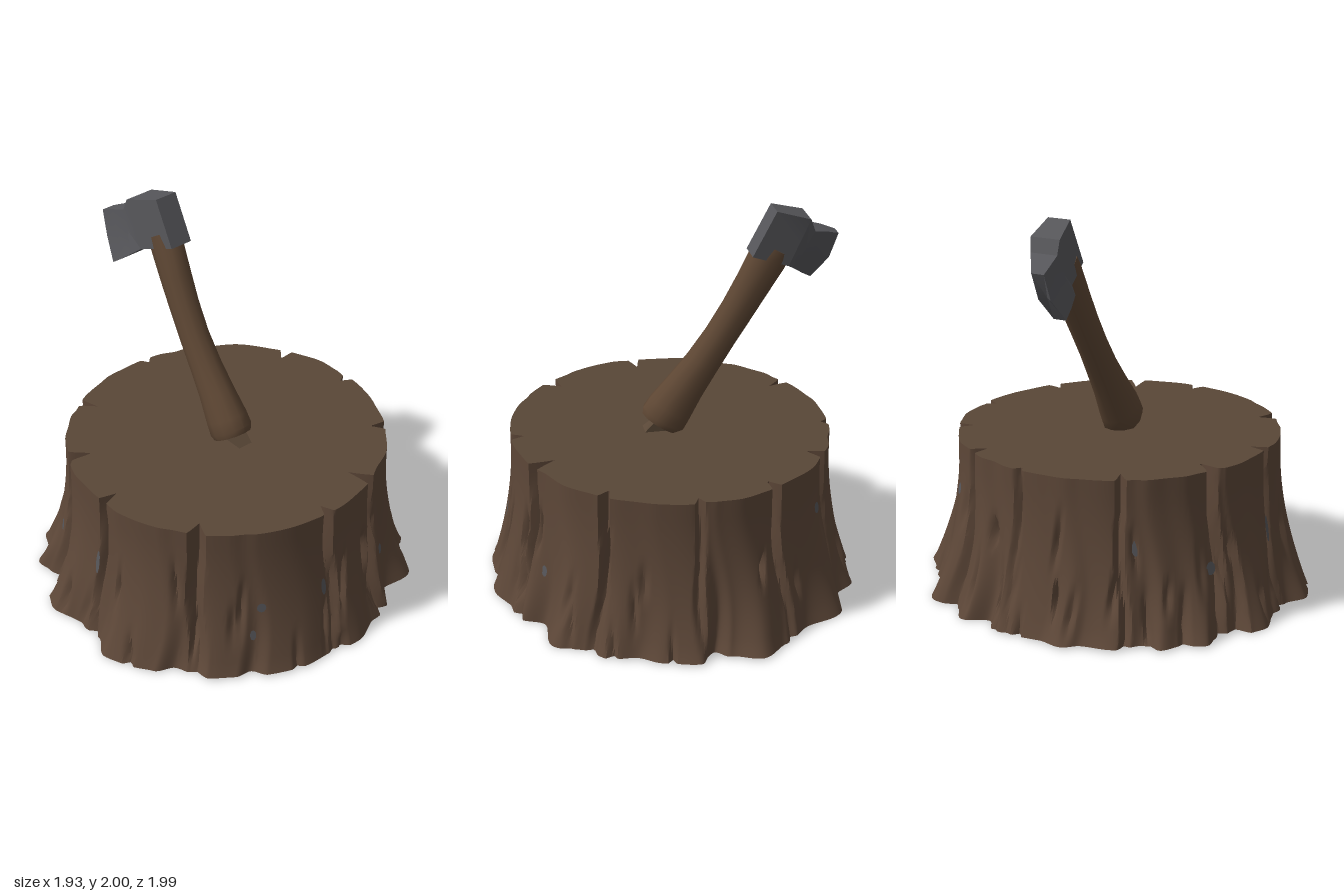
import * as THREE from 'three';
import { toCreasedNormals } from 'three/addons/utils/BufferGeometryUtils.js';

const mat = (name, color, extra = {}) => {
  const m = new THREE.MeshStandardMaterial({ color, ...extra });
  m.name = name;
  return m;
};

// Skin between rings of points; rings run counter-clockwise around the direction of travel.
function loft(rings, { start = true, end = true, crease = 0.7 } = {}) {
  const n = rings[0].length, pos = [], idx = [];
  rings.forEach(r => r.forEach(p => pos.push(...p)));
  for (let i = 0; i < rings.length - 1; i++) {
    for (let j = 0; j < n; j++) {
      const k = (j + 1) % n, a = i * n + j, b = i * n + k, c = b + n, d = a + n;
      idx.push(a, b, c, a, c, d);
    }
  }
  const cap = (ring, base, flip) => {
    const c = pos.length / 3;
    pos.push(...[0, 1, 2].map(q => ring.reduce((s, p) => s + p[q], 0) / n));
    for (let j = 0; j < n; j++) {
      const a = base + j, b = base + (j + 1) % n;
      idx.push(c, flip ? b : a, flip ? a : b);
    }
  };
  if (start) cap(rings[0], 0, true);
  if (end) cap(rings[rings.length - 1], (rings.length - 1) * n, false);
  const g = new THREE.BufferGeometry();
  g.setAttribute('position', new THREE.Float32BufferAttribute(pos, 3));
  g.setIndex(idx);
  return toCreasedNormals(g, crease);
}

let seed = 11;
const rand = () => (seed = (seed * 16807) % 2147483647) / 2147483647;

// Root outline at the ground: angle in degrees (from +x towards +z) and radius
const ROOTS = [
  [-6, .963], [6, .94], [16, .96], [27, .96], [32, .92], [37, .955], [46, .966], [56, .92], [62, .977],
  [71, 1], [78, 1.01], [85, .93], [95, .94], [105, 1.01], [110, 1], [112, .92], [121, .96],
  [126, 1.02], [133, .98], [139, 1.01], [144, .94], [152, .987], [162, .955], [167, .99], [175, .945],
  [191, .955], [197, .887], [204, .983], [212, .93], [222, 1.01], [235, .94], [246, .983], [255, 1.034],
  [264, .958], [268, .9], [273, .99], [284, .966], [292, .93], [301, .97], [308, .94], [318, .993],
  [329, .876], [337, .948], [345, .93], [354, .963],
];
// Full-height splits: angle, depth, half width in degrees
const SPLITS = [
  [-22, .13, 2.6], [2, .07, 2.2], [50, .09, 3.2], [88, .09, 2], [117, .12, 2.6], [150, .1, 1.8],
  [187, .04, 2], [213, .09, 2.4], [243, .08, 2.2], [272, .05, 2], [305, .08, 2.2],
];
// Short cracks in the bark
const CRACKS = Array.from({ length: 46 }, () => ({
  deg: rand() * 360, y: rand() * .5, half: .08 + rand() * .14,
  depth: .02 + rand() * .03, lean: (rand() - .5) * 20, width: 1.2 + rand() * 1.2,
}));

const gap = (a, b) => Math.abs(((a - b) % 360 + 540) % 360 - 180);

function rootRadius(deg) {
  const d = ((deg + 6) % 360 + 360) % 360 - 6;
  let i = 0;
  while (i < ROOTS.length - 2 && ROOTS[i + 1][0] < d) i++;
  const [a, ra] = ROOTS[i], [b, rb] = ROOTS[i + 1];
  return THREE.MathUtils.lerp(ra, rb, THREE.MathUtils.smoothstep(d, a, b));
}

function stumpRadius(deg, y) {
  const root = rootRadius(deg + 2 * Math.sin(y * 6));
  const top = .828 + .16 * (root - .96);
  const flare = Math.max(0, 1 - y / .75) ** 2;
  let r = THREE.MathUtils.lerp(top, root, flare);
  SPLITS.forEach(([a, depth, w], k) => {
    const wander = 1.6 * Math.sin(y * 8 + k * 2) * (1 - y / .83);
    const t = Math.max(0, 1 - gap(deg, a + wander) / w);
    r -= depth * t * (.35 + .65 * y / .83);
  });
  for (const c of CRACKS) {
    const v = Math.max(0, 1 - Math.abs(y - c.y) / c.half);
    r -= c.depth * v * Math.max(0, 1 - gap(deg, c.deg + c.lean * (y - c.y)) / c.width);
  }
  return r;
}

function stumpRing(y) {
  const N = 540;
  return Array.from({ length: N }, (_, j) => {
    const deg = -j * 360 / N, t = deg * Math.PI / 180, r = stumpRadius(deg, y);
    const x = r * Math.cos(t);
    return [x, y + .015 * x * y / .83 + (y < .02 ? .006 + .006 * Math.sin(t * 3) : 0), r * Math.sin(t)];
  });
}

export function createModel() {
  const bark = mat('bark brown', 0x5d4738);
  const cut = mat('cut wood brown', 0x594737);
  const handleWood = mat('handle brown', 0x5d4633);
  const steel = mat('steel grey', 0x56565a);
  const model = new THREE.Group();
  const add = (name, geometry, material, parent = model) => {
    const m = new THREE.Mesh(geometry, material);
    m.name = name;
    parent.add(m);
    return m;
  };

  // Stump: flared bark wall and sawn top
  const levels = Array.from({ length: 19 }, (_, i) => .826 * i / 18);
  add('stumpBark', loft(levels.map(stumpRing), { end: false }), bark);
  const rim = stumpRing(.826);
  const inner = rim.map(([x, y, z]) => [x * .5, .826 + (y - .826) * .5, z * .5]);
  add('stumpTop', loft([rim, inner], { start: false }), cut);

  // Small grey spots on the bark: angle, height, width, height of spot
  const spots = new THREE.Group();
  spots.name = 'barkSpots';
  model.add(spots);
  for (const [deg, y, w, h] of [
    [120, .34, .025, .034], [145, .47, .02, .04], [90, .42, .014, .07], [28, .38, .024, .026],
    [31, .22, .016, .03], [5, .4, .014, .05], [222, .58, .022, .03], [330, .3, .02, .03],
  ]) {
    const t = deg * Math.PI / 180, r = stumpRadius(deg, y) + .007;
    const s = add('barkSpot', new THREE.CircleGeometry(1, 12), steel, spots);
    s.scale.set(w, h, 1);
    s.position.set(r * Math.cos(t), y, r * Math.sin(t));
    s.rotation.set(-.15, Math.PI / 2 - t, 0, 'YXZ');
  }

  const axe = new THREE.Group();
  axe.name = 'axe';
  model.add(axe);

  // Handle: ellipses from the head down to the butt: x, y, z, half width, half depth
  const path = [
    [-.53, 1.79, -.02, .1, .075], [-.5, 1.735, -.02, .105, .078], [-.42, 1.585, -.012, .094, .077],
    [-.345, 1.45, -.005, .088, .074], [-.26, 1.31, 0, .086, .074], [-.17, 1.175, 0, .092, .079],
    [-.08, 1.05, 0, .105, .088], [.0, .935, 0, .122, .102], [.035, .88, 0, .125, .105], [.05, .855, 0, .112, .095],
  ];
  const SIDES = 12;
  const handle = path.map(([x, y, z, w, d]) => Array.from({ length: SIDES }, (_, j) => {
    const t = j / SIDES * Math.PI * 2, u = Math.cos(t) * w;
    return [x + .84 * u, y + .54 * u, z + Math.sin(t) * d];
  }));
  add('axeHandle', loft(handle, { crease: .75 }), handleWood, axe);

  // Splinter of wood raised beside the butt of the handle
  const splinter = [-.05, .03].map((z, i) => [[.0, .82, z], [.15, .82, z], [.08, .89 - .02 * i, z]]);
  add('woodSplinter', loft(splinter, { crease: .1 }), cut);

  // Head: slices from poll to edge: top xy, bottom xy, bulge, z, half thickness
  const head = [
    [-.52, 2, -.4, 1.77, 0, -.035, .062], [-.7, 1.94, -.59, 1.7, 0, -.003, .08],
    [-.727, 1.87, -.63, 1.665, 0, .015, .074], [-.8, 1.845, -.69, 1.615, .01, .046, .056],
    [-.88, 1.81, -.75, 1.57, .022, .075, .034],
  ].map(([tx, ty, bx, by, bulge, z, h]) => {
    const outline = [[bx, by, .03], [(tx + bx) / 2 - bulge, (ty + by) / 2 - bulge / 2, 0], [tx, ty, -.01]];
    const side = s => outline.map(([x, y, twist]) => [x, y, z + twist * (z > 0 ? 1 : 0) + s * h]);
    return [...side(1), ...side(-1).reverse()];
  });
  add('axeHead', loft(head, { crease: .3 }), steel, axe);

  return model;
}
